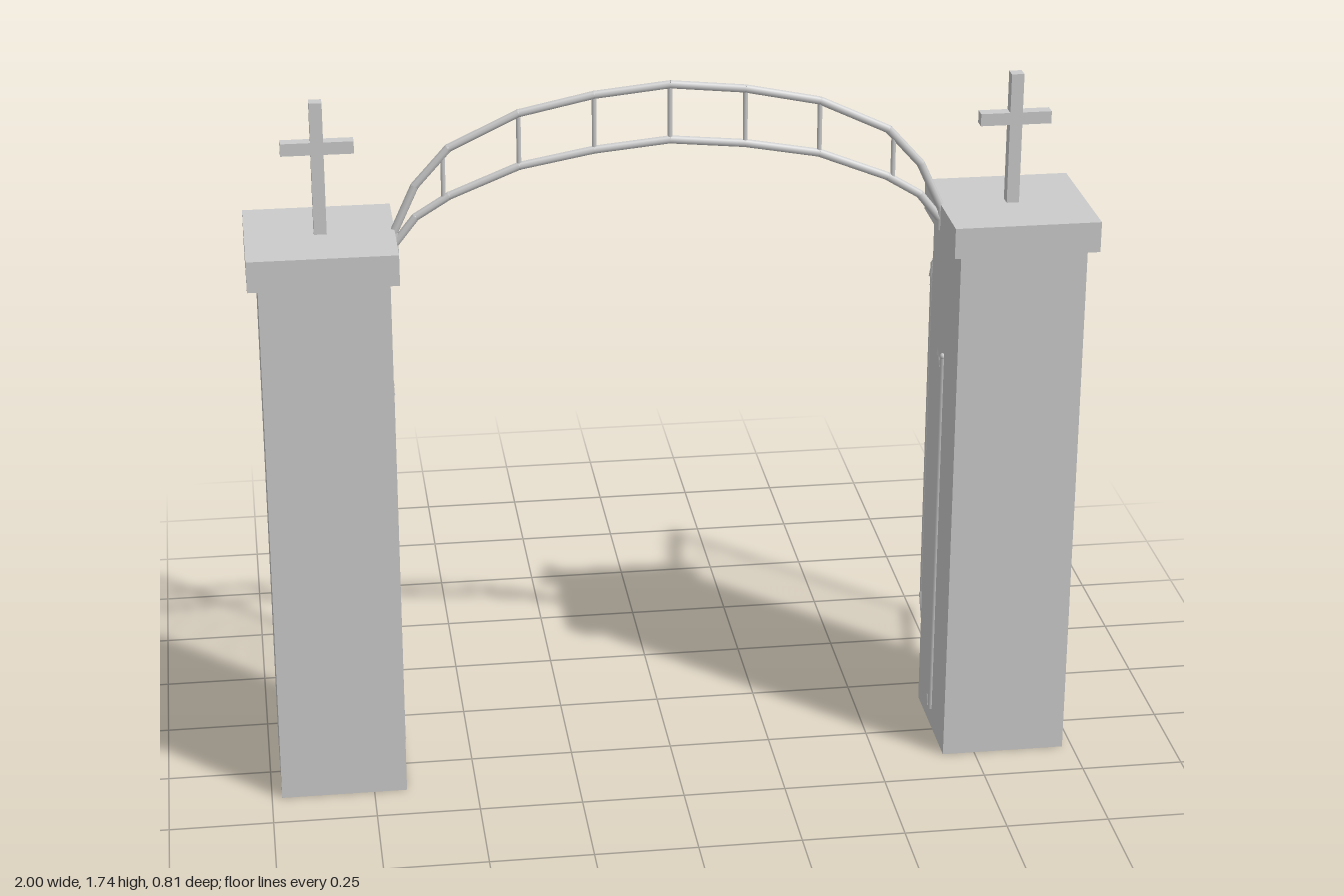
import * as THREE from 'three';

const mat = new THREE.MeshStandardMaterial({ color: 0xcccccc });
const flat = new THREE.MeshStandardMaterial({ color: 0xcccccc, flatShading: true });

function add(parent, name, geometry, x, y, z, material = mat) {
  const mesh = new THREE.Mesh(geometry, material);
  mesh.name = name;
  mesh.position.set(x, y, z);
  parent.add(mesh);
  return mesh;
}

function box(parent, name, w, h, d, x, y, z) {
  return add(parent, name, new THREE.BoxGeometry(w, h, d), x, y, z, flat);
}

// Round bar between two points
function rod(parent, name, a, b, r, sides = 8) {
  const dir = b.clone().sub(a);
  const mid = a.clone().add(b).multiplyScalar(0.5);
  const mesh = add(parent, name, new THREE.CylinderGeometry(r, r, dir.length(), sides), mid.x, mid.y, mid.z);
  mesh.quaternion.setFromUnitVectors(new THREE.Vector3(0, 1, 0), dir.normalize());
  return mesh;
}

const PILLAR_X = 0.823, PILLAR_Z = 0.23;

// Pillar with cap and cross; s is the side (+1 or -1)
function createPillar(s) {
  const g = new THREE.Group();
  g.name = s > 0 ? 'leftPillar' : 'rightPillar';
  g.position.set(s * PILLAR_X, 0, PILLAR_Z);
  box(g, 'shaft', 0.305, 1.335, 0.305, 0, 0.6675, 0);
  box(g, 'cap', 0.35, 0.075, 0.35, s * 0.002, 1.3725, 0);
  box(g, 'crossUpright', 0.03, 0.32, 0.03, 0, 1.57, 0);
  box(g, 'crossArm', 0.17, 0.03, 0.03, 0, 1.62, 0);
  return g;
}

// Open gate leaf, hinged at the inner face of its pillar
function createGate(s) {
  const g = new THREE.Group();
  g.name = s > 0 ? 'leftGate' : 'rightGate';
  g.position.set(s * 0.67, 0, PILLAR_Z);
  g.rotation.y = Math.PI / 2 - s * THREE.MathUtils.degToRad(9.8);
  const length = 0.633;
  const v = (x, y) => new THREE.Vector3(x, y, 0);

  for (const y of [0.06, 0.99]) rod(g, 'rail', v(0, y), v(length, y), 0.01);
  for (const x of [0, length]) {
    rod(g, 'endPost', v(x, 0.05), v(x, 1.015), 0.008);
    add(g, 'postKnob', new THREE.SphereGeometry(0.009, 8, 6), x, 1.015, 0);
  }
  // Bars with pointed tips
  for (let i = 0; i < 9; i++) {
    const x = length - 0.036 - i * 0.0667;
    rod(g, 'bar', v(x, 0.06), v(x, 1.0), 0.005, 6);
    add(g, 'spike', new THREE.ConeGeometry(0.014, 0.075, 8), x, 1.032, 0);
  }
  return g;
}

// Double arch joined by upright struts
function createArch() {
  const g = new THREE.Group();
  g.name = 'arch';
  g.position.z = 0.227;
  const outerHalf = [[0, 1.735], [0.178, 1.717], [0.355, 1.68], [0.52, 1.602], [0.6, 1.513], [0.652, 1.4]];
  const innerHalf = [[0, 1.6], [0.178, 1.583], [0.355, 1.551], [0.52, 1.485], [0.6, 1.436], [0.652, 1.37]];
  const point = ([x, y], s) => new THREE.Vector3(s * x, y, 0);

  for (const s of [-1, 1]) {
    for (const half of [outerHalf, innerHalf]) {
      for (let i = 0; i + 1 < half.length; i++) {
        rod(g, 'archRail', point(half[i], s), point(half[i + 1], s), 0.01);
        const p = point(half[i + 1], s);
        add(g, 'archJoint', new THREE.SphereGeometry(0.01, 8, 6), p.x, p.y, 0);
      }
    }
    // Struts
    for (const [x, low, high] of [[0.178, 1.583, 1.717], [0.355, 1.551, 1.68], [0.533, 1.477, 1.588]]) {
      rod(g, 'strut', point([x, low], s), point([x, high], s), 0.006, 6);
    }
    // Anchor at the pillar cap
    rod(g, 'archFoot', point([0.652, 1.345], s), point([0.652, 1.4], s), 0.011);
  }
  rod(g, 'strut', point(innerHalf[0], 1), point(outerHalf[0], 1), 0.006, 6);
  return g;
}

export function createModel() {
  const model = new THREE.Group();
  model.name = 'cemeteryGate';
  for (const s of [-1, 1]) model.add(createPillar(s), createGate(s));
  model.add(createArch());
  return model;
}
